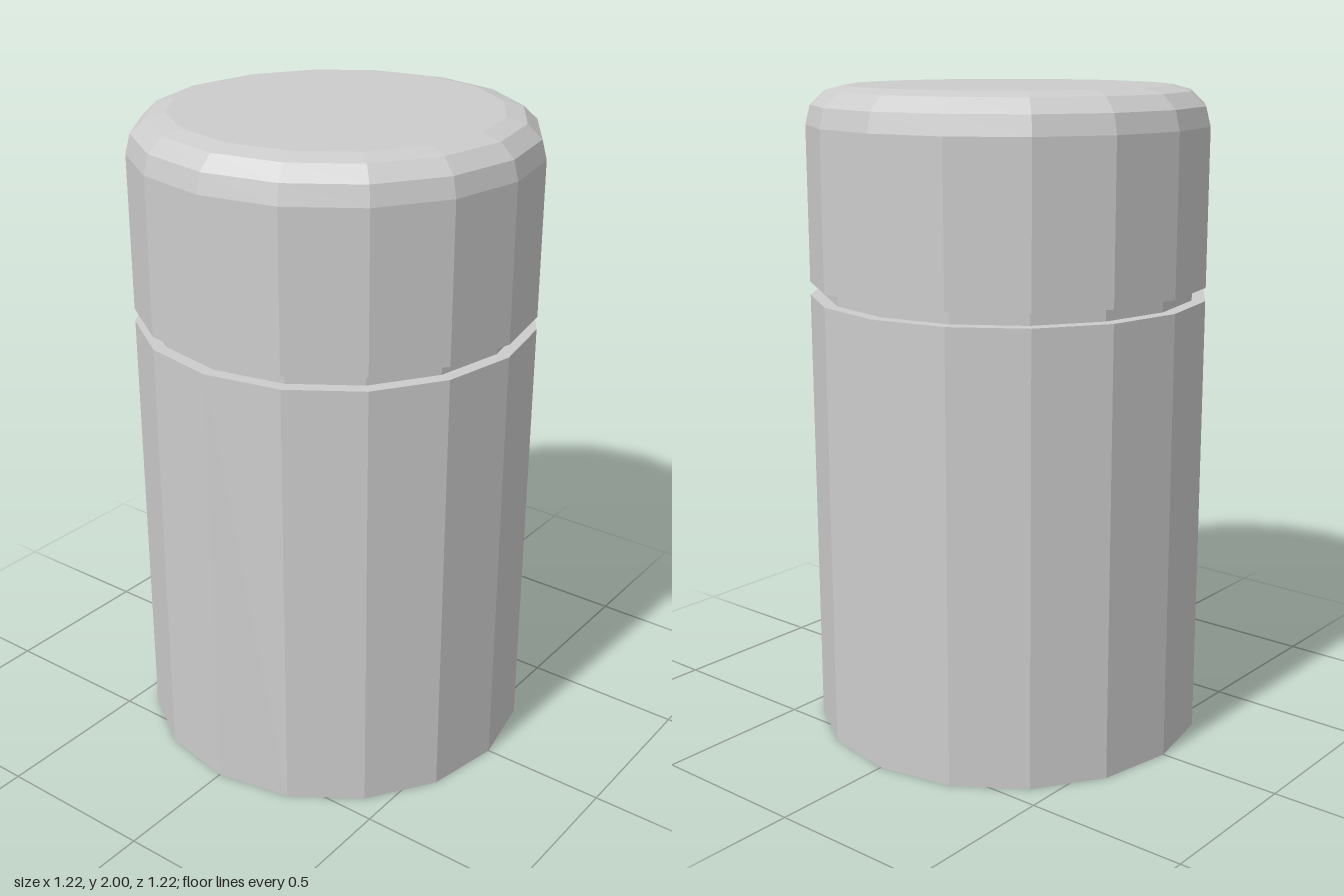
import * as THREE from 'three';

const SIDES = 16;

export function createModel() {
  const model = new THREE.Group();
  model.name = 'cappedCanister';

  const grey = new THREE.MeshStandardMaterial({ color: 0xcccccc });
  grey.name = 'plain grey';
  grey.flatShading = true;
  grey.side = THREE.DoubleSide;

  // Faceted open shell turned from [radius, height] pairs, listed bottom to top
  const addShell = (name, profile) => {
    const points = profile.map(([r, y]) => new THREE.Vector2(r, y));
    const mesh = new THREE.Mesh(new THREE.LatheGeometry(points, SIDES), grey);
    mesh.name = name;
    model.add(mesh);
  };

  // Straight body, open underneath, with a narrow shoulder at its rim
  addShell('body', [[0.611, 0], [0.611, 1.372], [0.57, 1.372]]);

  // Recessed groove between body and cap
  addShell('neck', [[0.57, 1.372], [0.57, 1.412]]);

  // Cap with a rounded edge and flat top
  addShell('cap', [
    [0.57, 1.412], [0.611, 1.412], [0.611, 1.885],
    [0.596, 1.943], [0.552, 1.985], [0.492, 2], [0, 2],
  ]);

  return model;
}
